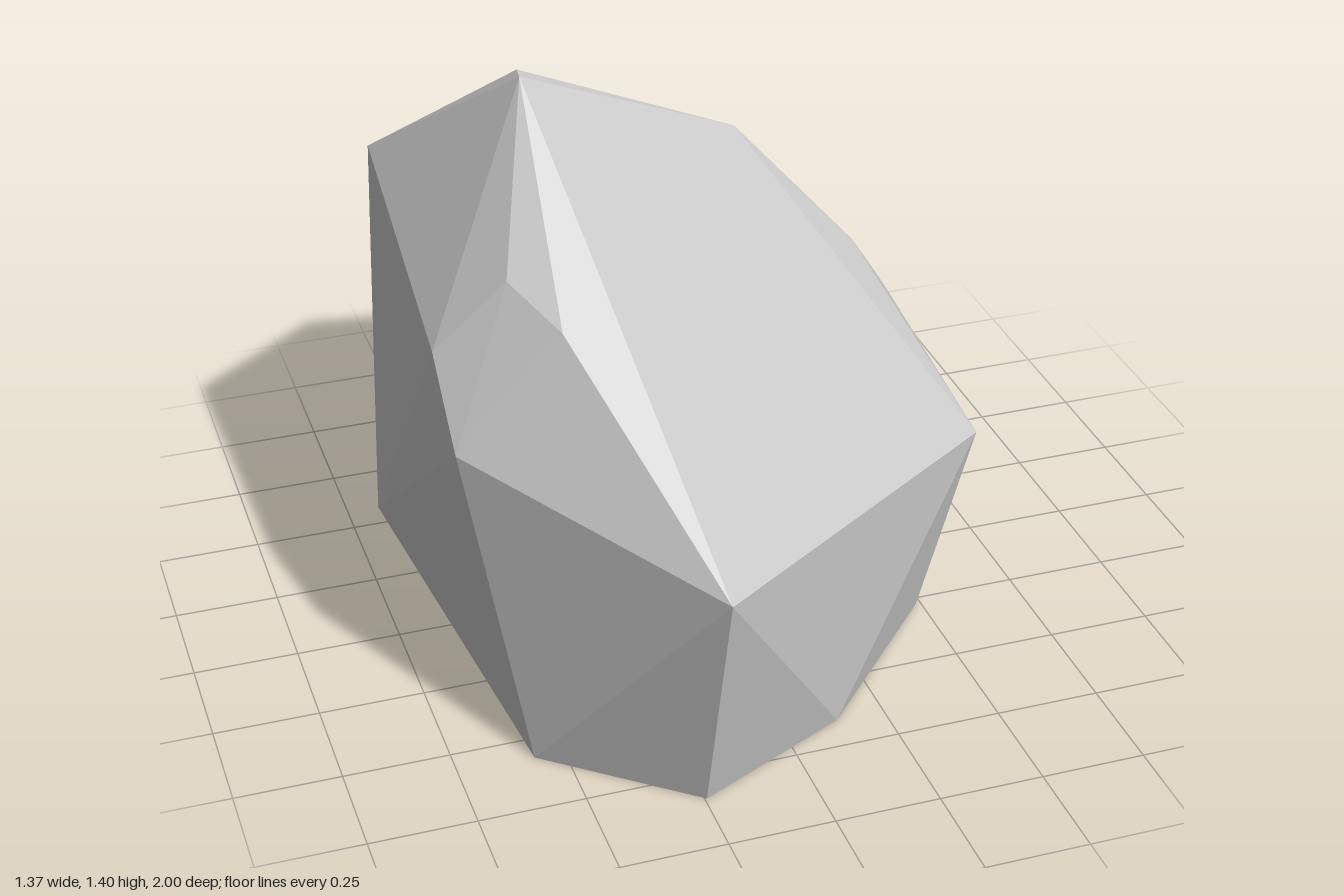
import * as THREE from 'three';
import { ConvexGeometry } from 'three/addons/geometries/ConvexGeometry.js';

export function createModel() {
  const stone = new THREE.MeshStandardMaterial({ color: 0xcacaca });
  stone.name = 'stone grey';

  // outline of the flat base, as x and z
  const base = [
    [-0.57, 0.57], [-0.245, 0.835], [0.135, 0.655], [0.487, 0.275], [0.535, -0.37],
    [0.28, -0.757], [0.01, -0.955], [-0.35, -1], [-0.67, -0.575],
  ].map(([x, z]) => [x, 0, z]);

  // corners around the widest part
  const girdle = [
    [-0.245, 0.625, 1], [0.627, 0.465, 0.27], [0.684, 0.48, -0.48], [0.49, 0.39, -0.985],
    [-0.683, 0.73, 0.405], [-0.685, 0.9, 0.23],
  ];

  // back ridge, shoulders and peak
  const crown = [
    [-0.22, 0.72, -0.982], [0.05, 0.745, -0.97], [-0.37, 0.84, -0.96],
    [-0.655, 1.07, -0.5], [-0.525, 1.08, 0.29], [-0.445, 1.02, 0.45],
    [0.455, 0.815, -0.14], [0.18, 1.12, -0.23], [-0.08, 1, -0.62], [0.54, 0.67, -0.43],
    [-0.39, 1.4, -0.06], [-0.385, 1.4, -0.1],
  ];

  // faceted boulder stretched over all the corners
  const corners = [...base, ...girdle, ...crown].map((p) => new THREE.Vector3(...p));
  const boulder = new THREE.Mesh(new ConvexGeometry(corners), stone);
  boulder.name = 'boulder';

  const group = new THREE.Group();
  group.name = 'rock';
  group.add(boulder);
  return group;
}
